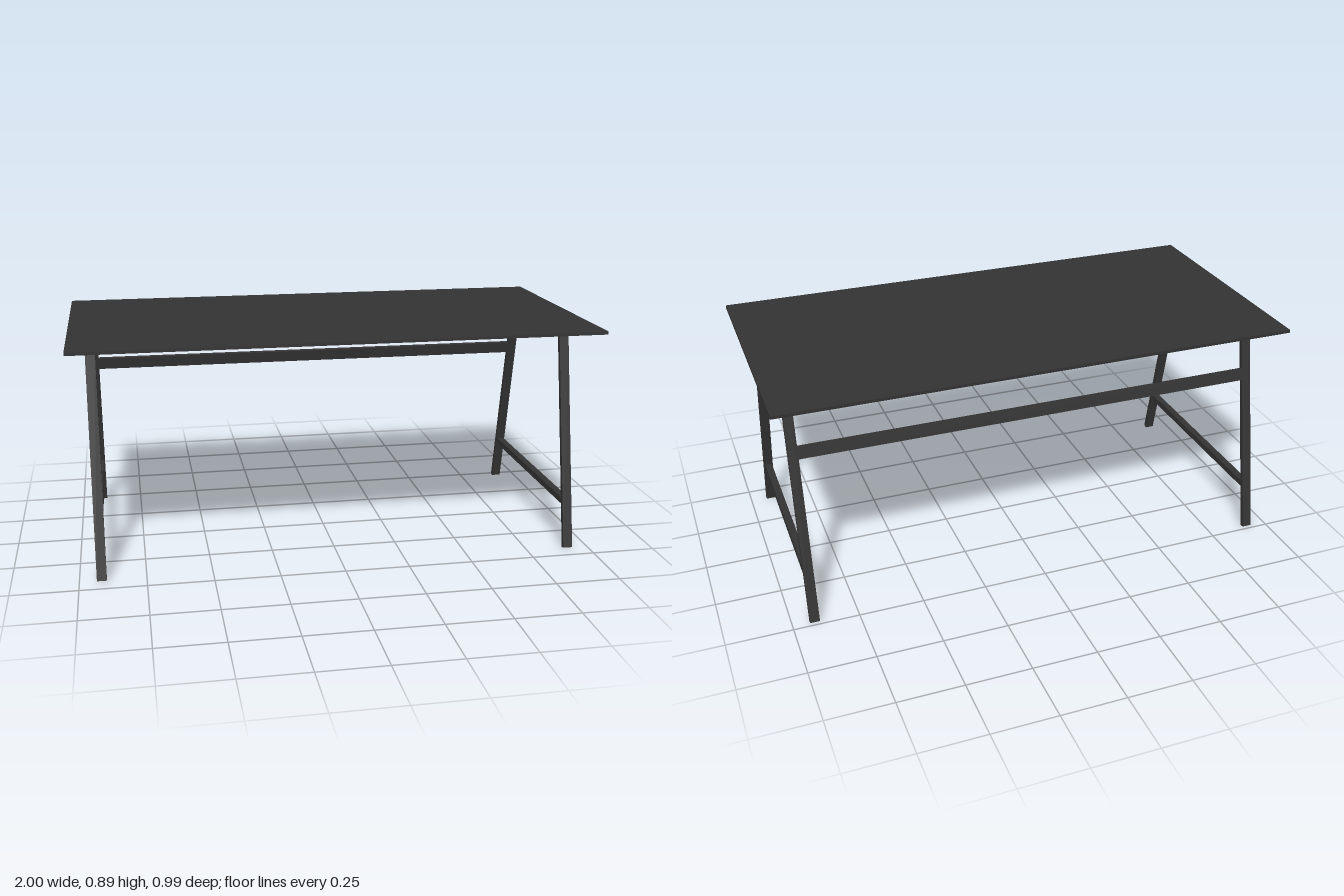
import * as THREE from 'three';

const TOP_Y = 0.882, TOP_THICK = 0.012;
const LEG_X = 0.917, LEG_W = 0.037, LEG_D = 0.018;
// Leg centre lines in the yz plane: z at the foot and z under the top
const FRONT = { foot: 0.429, head: 0.246 };
const BACK = { foot: -0.479, head: -0.297 };
const FOOT_Y = 0.002, HEAD_Y = 0.884;

const zAt = (leg, y) => THREE.MathUtils.lerp(leg.foot, leg.head, (y - FOOT_Y) / (HEAD_Y - FOOT_Y));
const tilt = (leg) => Math.atan2(leg.head - leg.foot, HEAD_Y - FOOT_Y);

export function createModel() {
  const model = new THREE.Group();
  const material = new THREE.MeshStandardMaterial({ color: 0x333333 });

  function bar(name, size, position, rotX = 0) {
    const mesh = new THREE.Mesh(new THREE.BoxGeometry(...size), material);
    mesh.name = name;
    mesh.position.set(...position);
    mesh.rotation.x = rotX;
    model.add(mesh);
  }

  // Thin tabletop
  bar('tabletop', [2, TOP_THICK, 0.986], [0, TOP_Y + TOP_THICK / 2, 0]);

  // A-shaped leg frame at each end
  for (const [side, s] of [['left', 1], ['right', -1]]) {
    for (const [end, leg] of [['Front', FRONT], ['Back', BACK]]) {
      const length = Math.hypot(HEAD_Y - FOOT_Y, leg.head - leg.foot);
      bar(side + end + 'Leg', [LEG_W, length, LEG_D],
        [s * LEG_X, (FOOT_Y + HEAD_Y) / 2, (leg.foot + leg.head) / 2], tilt(leg));
    }
    // Low rail between the two legs
    const y = 0.182, zf = zAt(FRONT, y), zb = zAt(BACK, y);
    bar(side + 'Rail', [0.028, 0.026, zf - zb], [s * LEG_X, y, (zf + zb) / 2]);
  }

  // Long stretcher, lying in the slope of the back legs
  const y = 0.652;
  bar('backStretcher', [2 * LEG_X - LEG_W, 0.047, 0.016], [0, y, zAt(BACK, y)], tilt(BACK));

  return model;
}
